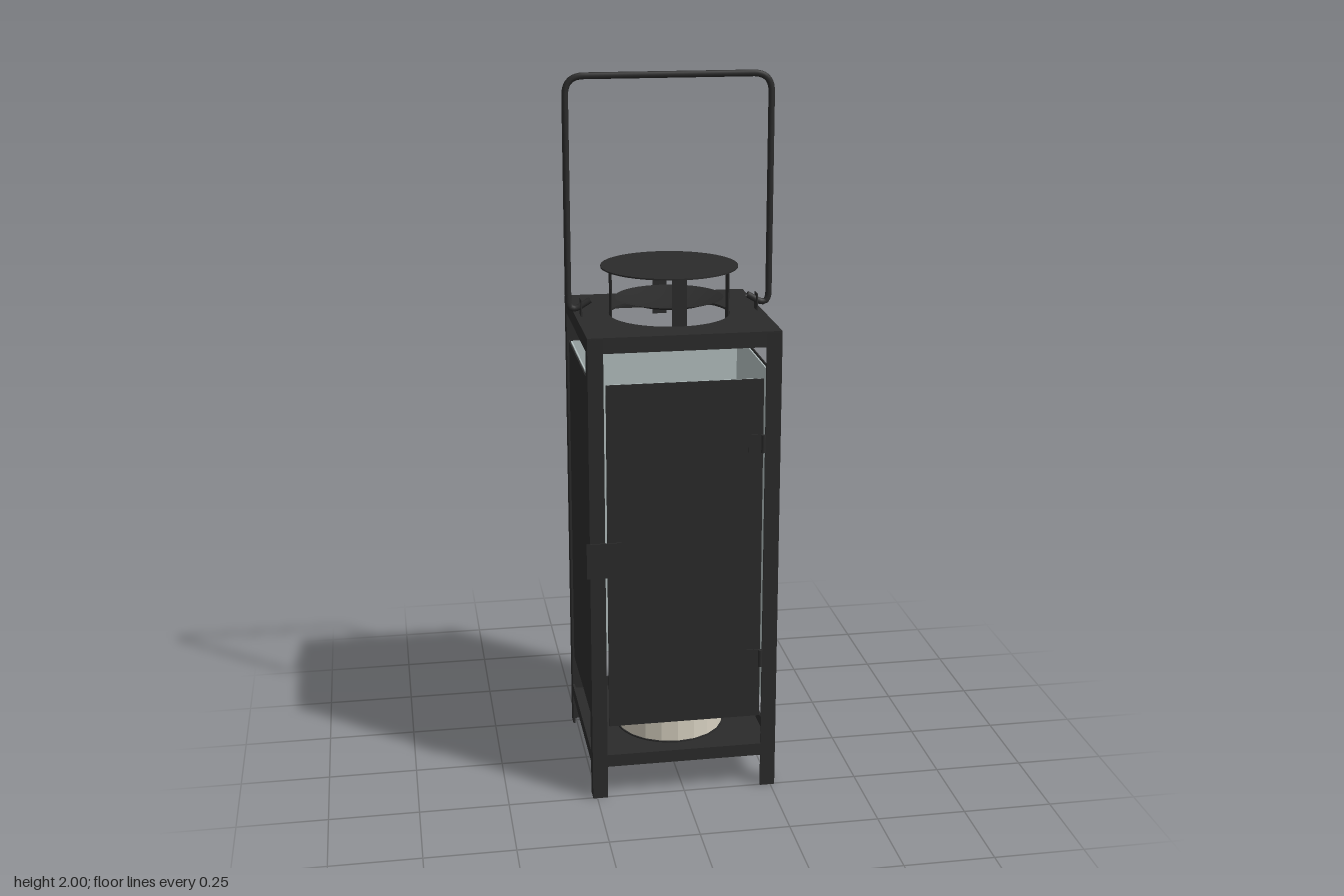
import * as THREE from 'three';

export function createModel() {
  const metal = new THREE.MeshStandardMaterial({ color: 0x2b2b2b, side: THREE.DoubleSide });
  metal.name = 'black metal';
  const glass = new THREE.MeshStandardMaterial({ color: 0xb4c0c0, side: THREE.DoubleSide });
  glass.name = 'pale glass';
  const wax = new THREE.MeshStandardMaterial({ color: 0xd6d0c0, flatShading: true });
  wax.name = 'candle wax';

  const root = new THREE.Group();
  root.name = 'lantern';
  const body = new THREE.Group();
  body.name = 'lanternBody';
  body.position.z = -0.008; // the latch and hinges stand proud of the front
  root.add(body);

  const add = (name, geo, mat, x = 0, y = 0, z = 0, parent = body) => {
    const m = new THREE.Mesh(geo, mat);
    m.name = name;
    m.position.set(x, y, z);
    parent.add(m);
    return m;
  };
  const box = (name, w, h, d, x, y, z, mat = metal, parent = body) =>
    add(name, new THREE.BoxGeometry(w, h, d), mat, x, y, z, parent);

  const H = 0.262; // half width of the square body
  const T = 0.006; // sheet thickness
  const L = 0.042; // width of the angle iron

  // Angle-iron corner legs
  for (const sx of [-1, 1]) for (const sz of [-1, 1]) {
    box('legFlangeFront', L, 1.335, T, sx * (H - L / 2), 0.6675, sz * (H - T / 2));
    box('legFlangeSide', T, 1.335, L, sx * (H - T / 2), 0.6675, sz * (H - L / 2));
  }

  // Four walls: rails, panel and the inner pane
  for (let i = 0; i < 4; i++) {
    const wall = new THREE.Group();
    wall.name = ['frontDoorWall', 'leftWall', 'backWall', 'rightWall'][i];
    wall.rotation.y = i * Math.PI / 2;
    body.add(wall);
    box('topRail', 2 * H, 0.04, T, 0, 1.317, H - T / 2, metal, wall);
    box('bottomRail', 2 * H, 0.036, T, 0, 0.114, H - T / 2, metal, wall);
    const w = i === 0 ? 0.428 : 0.5;
    box('panel', w, 0.99, 0.004, 0, 0.715, H - (i === 0 ? 0.004 : 0.009), metal, wall);
    box('innerPane', w - 0.01, 0.985, 0.004, 0, 0.715, H - 0.016, glass, wall);
  }

  // Top plate with the round vent hole
  const plate = new THREE.Shape();
  plate.moveTo(-H, -H).lineTo(H, -H).lineTo(H, H).lineTo(-H, H).closePath();
  plate.holes.push(new THREE.Path().absarc(0, 0, 0.168, 0, Math.PI * 2, true));
  const plateGeo = new THREE.ExtrudeGeometry(plate, { depth: T, bevelEnabled: false, curveSegments: 24 });
  plateGeo.rotateX(-Math.PI / 2);
  add('topPlate', plateGeo, metal, 0, 1.334, 0);

  // Base plate, candle tray and candle
  box('basePlate', 2 * H - 0.004, 0.006, 2 * H - 0.004, 0, 0.099, 0);
  add('candleTray', new THREE.CylinderGeometry(0.158, 0.158, 0.02, 32), metal, 0, 0.096, 0);
  add('candle', new THREE.CylinderGeometry(0.155, 0.155, 0.37, 20), wax, 0, 0.291, 0);
  add('wick', new THREE.CylinderGeometry(0.005, 0.005, 0.03, 8), metal, 0, 0.49, 0);

  // Vent: rain cap, dished baffle and four thin straps
  add('ventCap', new THREE.CylinderGeometry(0.19, 0.19, 0.004, 40), metal, 0, 1.473, 0);
  const dish = [[0, 1.358], [0.05, 1.361], [0.1, 1.37], [0.15, 1.386]].map(p => new THREE.Vector2(...p));
  add('ventBaffle', new THREE.LatheGeometry(dish, 40), metal);
  for (let i = 0; i < 4; i++) {
    const strap = new THREE.Group();
    strap.name = 'ventStrap';
    strap.rotation.y = i * Math.PI / 2;
    body.add(strap);
    box('strapUpright', 0.04, 0.172, 0.003, 0, 1.386, 0.164, metal, strap);
  }

  // Carrying handle with bent-in ends, and its two lugs
  const v = (x, y) => new THREE.Vector3(x, y, 0);
  const path = new THREE.CurvePath();
  const line = (a, b) => path.add(new THREE.LineCurve3(a, b));
  const bend = (a, c, b) => path.add(new THREE.QuadraticBezierCurve3(a, c, b));
  line(v(-0.22, 1.384), v(-0.25, 1.366));
  bend(v(-0.25, 1.366), v(-0.281, 1.35), v(-0.281, 1.39));
  line(v(-0.281, 1.39), v(-0.281, 1.94));
  bend(v(-0.281, 1.94), v(-0.281, 1.991), v(-0.23, 1.991));
  line(v(-0.23, 1.991), v(0.23, 1.991));
  bend(v(0.23, 1.991), v(0.281, 1.991), v(0.281, 1.94));
  line(v(0.281, 1.94), v(0.281, 1.39));
  bend(v(0.281, 1.39), v(0.281, 1.35), v(0.25, 1.366));
  line(v(0.25, 1.366), v(0.22, 1.384));
  add('handle', new THREE.TubeGeometry(path, 220, 0.009, 8), metal);
  for (const s of [-1, 1]) {
    box('handleLug', 0.003, 0.05, 0.034, s * 0.246, 1.362, 0);
  }

  // Door latch and hinges
  box('doorLatch', 0.095, 0.1, 0.004, -0.224, 0.718, H + 0.003);
  for (const y of [0.4, 1.03]) {
    box('hingeLeaf', 0.04, 0.05, 0.003, 0.194, y, H + 0.001);
    add('hingeBarrel', new THREE.CylinderGeometry(0.006, 0.006, 0.05, 12), metal, 0.213, y, H + 0.007);
  }

  return root;
}
